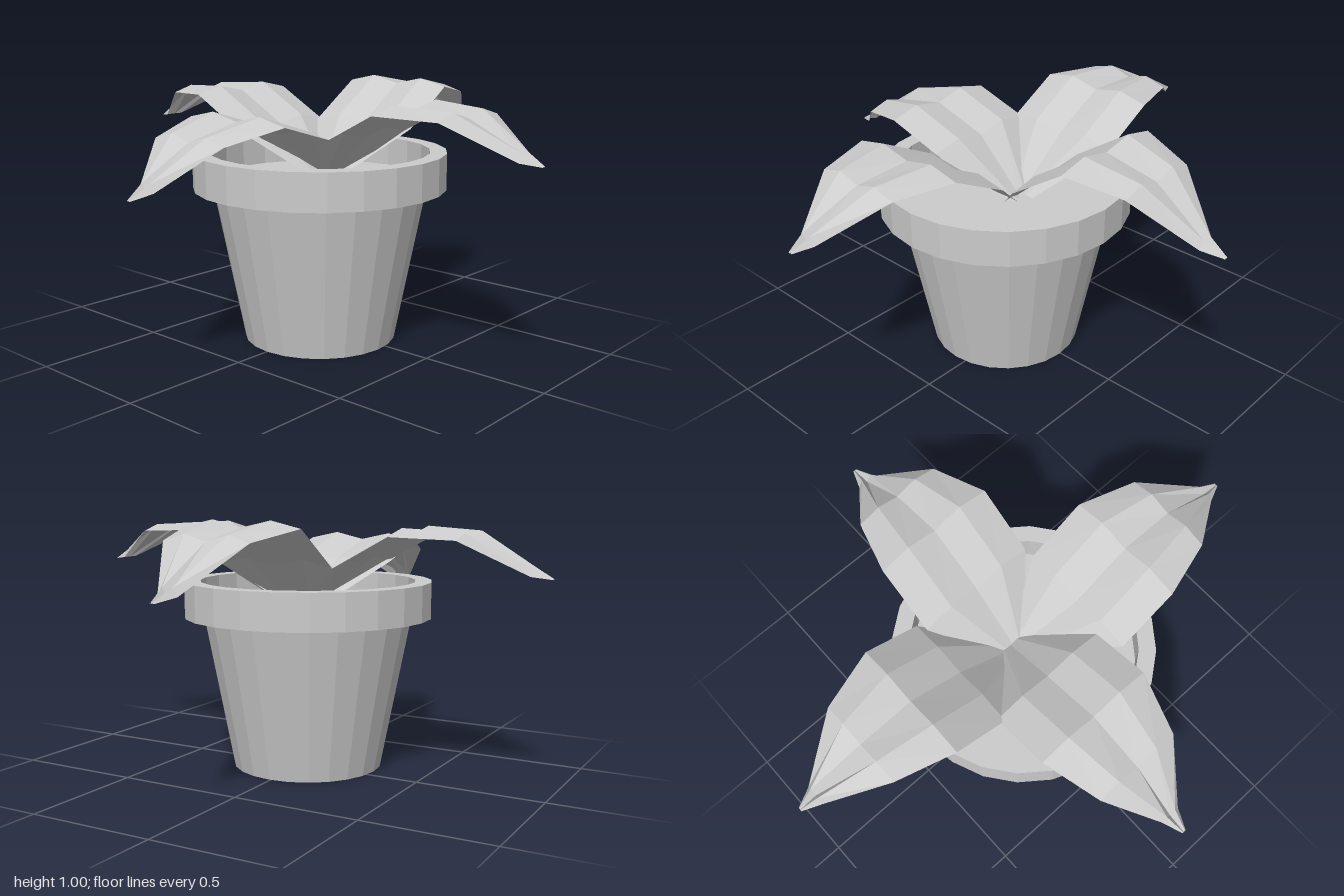
import * as THREE from 'three';

const grey = new THREE.MeshStandardMaterial({ color: 0xcccccc, flatShading: true });
const leafGrey = new THREE.MeshStandardMaterial({ color: 0xcccccc, flatShading: true, side: THREE.DoubleSide });

// Leaf running along +z; each station is [distance, edge height, half width, crest lift].
// Every cross-section is a shallow M: low edges and midrib, two raised crests.
function leafGeometry(stations) {
  const across = [-1, -0.5, 0, 0.5, 1];
  const positions = [], index = [];
  for (const [z, y, halfWidth, lift] of stations) {
    across.forEach((u, i) => positions.push(u * halfWidth, y + (i % 2) * lift, z));
  }
  for (let s = 0; s < stations.length - 1; s++) {
    for (let i = 0; i < 4; i++) {
      const a = s * 5 + i, b = a + 5;
      index.push(a, b, a + 1, a + 1, b, b + 1);
    }
  }
  const geometry = new THREE.BufferGeometry();
  geometry.setAttribute('position', new THREE.Float32BufferAttribute(positions, 3));
  geometry.setIndex(index);
  geometry.computeVertexNormals();
  return geometry;
}

function lathe(name, profile) {
  const points = profile.map(([r, y]) => new THREE.Vector2(r, y));
  const mesh = new THREE.Mesh(new THREE.LatheGeometry(points, 24), grey);
  mesh.name = name;
  mesh.position.set(0.005, 0, 0.05);
  return mesh;
}

export function createModel() {
  const model = new THREE.Group();
  model.name = 'pottedPlant';

  // Tapered pot, overhanging rim and sunken soil
  model.add(lathe('potBody', [[0, 0], [0.3, 0], [0.418, 0.61]]));
  model.add(lathe('potRim', [[0.41, 0.607], [0.495, 0.607], [0.495, 0.75], [0.43, 0.75], [0.43, 0.63]]));
  model.add(lathe('soil', [[0.432, 0.635], [0, 0.635]]));

  // Four arching leaves: heading, sideways shift, [distance, height] of shoulder, crown, bend, neck, tip
  const leaves = [
    ['frontLeaf', 0, -0.035, 0, [[0.22, 0.825], [0.455, 0.895], [0.68, 0.845], [0.87, 0.7], [0.945, 0.68]]],
    ['leftLeaf', Math.PI / 2, -0.075, 0.05, [[0.25, 0.825], [0.48, 0.945], [0.705, 0.935], [0.93, 0.81], [1, 0.8]]],
    ['backLeaf', Math.PI, -0.003, 0.02, [[0.21, 0.825], [0.435, 0.975], [0.655, 0.935], [0.87, 0.77], [0.95, 0.755]]],
    ['rightLeaf', -Math.PI / 2, -0.003, 0.05, [[0.26, 0.825], [0.48, 0.945], [0.705, 0.935], [0.93, 0.81], [1, 0.8]]],
  ];
  const widths = [0.245, 0.245, 0.178, 0.04, 0.008];
  const lifts = [0.025, 0.027, 0.025, 0.03, 0.003];
  for (const [name, heading, shift, start, path] of leaves) {
    const stations = [[start - 0.02, 0.64, 0.06, 0.005]];
    path.forEach(([z, y], i) => stations.push([z, y, widths[i], lifts[i]]));
    const geometry = leafGeometry(stations);
    // Slide the blade sideways, keeping its foot near the centre of the pot
    const p = geometry.attributes.position;
    for (let i = 0; i < p.count; i++) p.setX(i, p.getX(i) + shift * (i < 5 ? 0.2 : 1));
    const leaf = new THREE.Mesh(geometry, leafGrey);
    leaf.name = name;
    leaf.rotation.y = heading;
    model.add(leaf);
  }
  return model;
}
